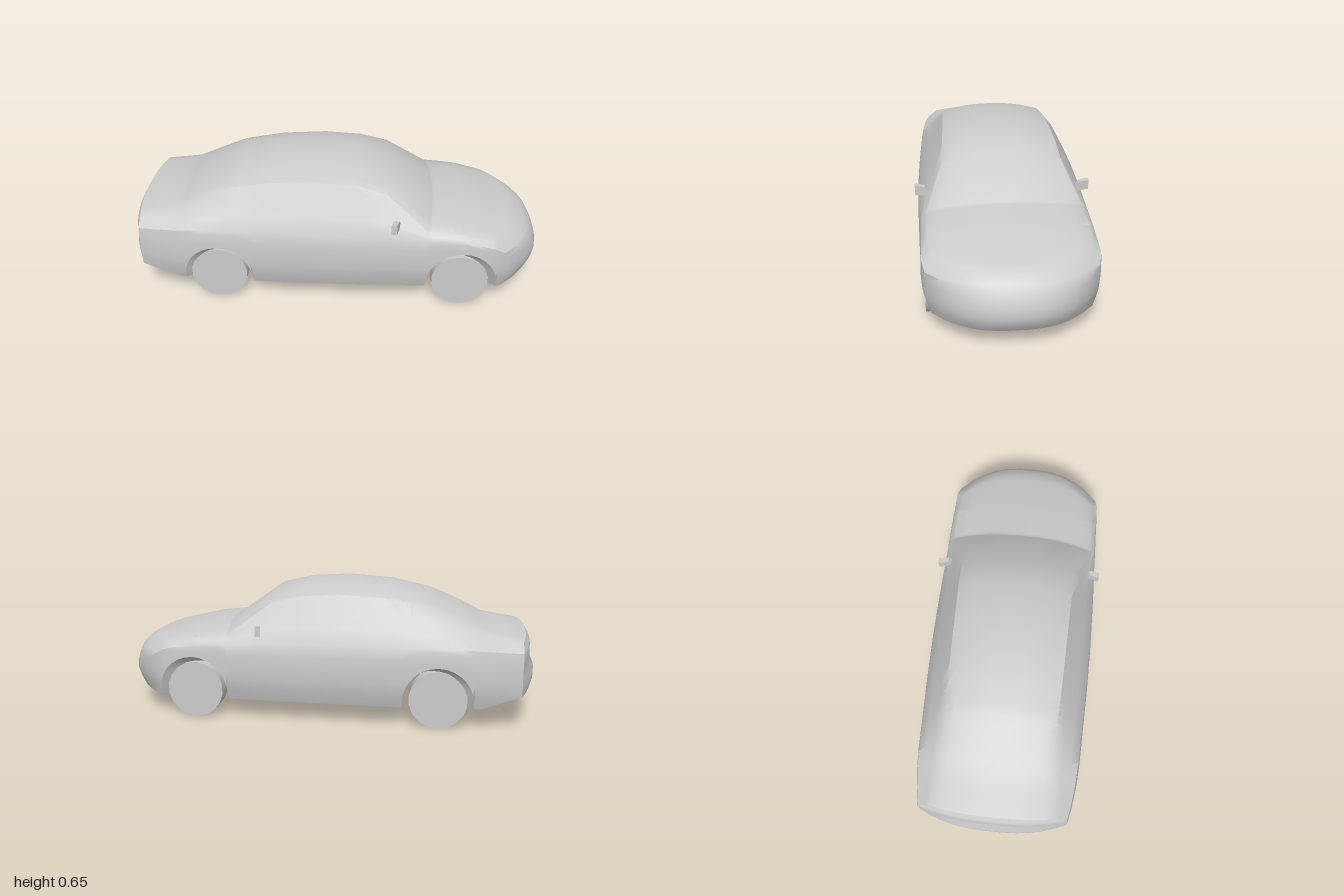
import * as THREE from 'three';
import { toCreasedNormals } from 'three/addons/utils/BufferGeometryUtils.js';

const V = (x, y, z) => new THREE.Vector3(x, y, z);
const material = new THREE.MeshStandardMaterial({ color: 0xcccccc });
const shellMaterial = new THREE.MeshStandardMaterial({ color: 0xcccccc, side: THREE.DoubleSide });

// Body stations: side x, centre x, roof centre y, roof edge y, roof edge z, shoulder y, half width, sill y
const STATIONS = [
  [-0.93, -0.955, 0.42, 0.405, 0.295, 0.365, 0.357, 0.165],
  [-0.85, -0.865, 0.443, 0.42, 0.284, 0.37, 0.373, 0.138],
  [-0.75, -0.755, 0.465, 0.438, 0.274, 0.375, 0.386, 0.1],
  [-0.66, -0.66, 0.518, 0.48, 0.266, 0.38, 0.392, 0.097],
  [-0.5, -0.5, 0.587, 0.55, 0.26, 0.38, 0.396, 0.095],
  [-0.3, -0.3, 0.632, 0.585, 0.266, 0.38, 0.402, 0.095],
  [-0.08, -0.08, 0.647, 0.597, 0.27, 0.38, 0.404, 0.095],
  [0.1, 0.1, 0.635, 0.585, 0.275, 0.378, 0.402, 0.095],
  [0.24, 0.25, 0.6, 0.55, 0.28, 0.376, 0.399, 0.095],
  [0.44, 0.47, 0.443, 0.402, 0.352, 0.37, 0.393, 0.095],
  [0.6, 0.65, 0.418, 0.387, 0.357, 0.358, 0.389, 0.095],
  [0.75, 0.87, 0.363, 0.357, 0.34, 0.33, 0.384, 0.095],
  [0.8, 0.93, 0.33, 0.332, 0.325, 0.3, 0.368, 0.1],
];
const ARCHES = [{ x: -0.555, r: 0.163 }, { x: 0.605, r: 0.168 }];
const ARCH_Y = 0.13;
// Relative half width of the flank by height
const FLANK = [[0.09, 0.925], [0.17, 0.99], [0.25, 1], [0.33, 0.99], [0.4, 0.955]];
// Centre line of nose and tail, as height and x
const NOSE = [[0.105, 0.96], [0.15, 0.99], [0.2, 1], [0.26, 0.98], [0.3, 0.958], [0.33, 0.93]];
const TAIL = [[0.17, -0.985], [0.2, -1], [0.257, -1], [0.28, -0.98], [0.385, -0.976], [0.42, -0.955]];
const SIDE_POINTS = 9;

// Linear interpolation in a table sorted by its first column
function lookup(table, t) {
  let i = 0;
  while (i < table.length - 2 && t > table[i + 1][0]) i++;
  const a = table[i], b = table[i + 1];
  const k = THREE.MathUtils.clamp((t - a[0]) / (b[0] - a[0]), 0, 1);
  return a.map((v, n) => v + (b[n] - v) * k);
}

function station(x) {
  const [xe, xc, yc, ye, ze, ys, w, sill] = lookup(STATIONS, x);
  return { xe, xc, yc, ye, ze, ys, w, sill };
}

function sideZ(s, y) {
  const flank = h => s.w * lookup(FLANK, h)[1];
  if (y <= s.ys) return flank(y);
  return THREE.MathUtils.lerp(flank(s.ys), s.ze, Math.min(1, (y - s.ys) / (s.ye - s.ys)));
}

// Triangles of a grid of points
function grid(rows) {
  const out = [];
  for (let i = 0; i < rows.length - 1; i++)
    for (let j = 0; j < rows[0].length - 1; j++) {
      const a = rows[i][j], b = rows[i + 1][j], c = rows[i][j + 1], d = rows[i + 1][j + 1];
      out.push(a, b, c, b, d, c);
    }
  return out;
}

function surface(points, crease) {
  return toCreasedNormals(new THREE.BufferGeometry().setFromPoints(points), crease);
}

// A bowed line from an edge point across the car to its mirror image
function bow(edge, xc, yc) {
  const row = [];
  for (let i = 6; i >= -6; i--) {
    const k = Math.abs(i / 6);
    row.push(V(xc + (edge.x - xc) * k ** 2.6, yc + (edge.y - yc) * k ** 2.2, edge.z * i / 6));
  }
  return row;
}

// Points up one flank, from the sill to the roof edge
function flankPoints(s) {
  const points = [];
  for (let i = 0; i < SIDE_POINTS; i++) {
    const y = i <= 5 ? THREE.MathUtils.lerp(s.sill, s.ys, i / 5)
      : THREE.MathUtils.lerp(s.ys, s.ye, (i - 5) / 3);
    points.push(V(s.xe, y, sideZ(s, y)));
  }
  return points;
}

// A cross-section from the +z sill over the roof to the -z sill
function section(s) {
  const flank = flankPoints(s);
  const roof = bow(flank[SIDE_POINTS - 1], s.xc, s.yc);
  const far = flank.slice(0, -1).reverse().map(p => V(p.x, p.y, -p.z));
  return [...flank.slice(0, -1), ...roof, ...far];
}

// Rows across the nose or tail, bottom first, joined to the flank of the end section
function capRows(s, profile) {
  const bottom = profile[0][0];
  return flankPoints(s).map(p => {
    const y = bottom + (s.yc - bottom) * (p.y - s.sill) / (s.ye - s.sill);
    return bow(p, lookup(profile, y)[1], y);
  });
}

// Stations in order, with the sill raised along the wheel arches
function bodyStations() {
  const list = STATIONS.map(r => station(r[0]))
    .filter(s => ARCHES.every(a => Math.abs(s.xe - a.x) > a.r + 0.004));
  for (const a of ARCHES) {
    for (const e of [-1, 1]) list.push(station(a.x + e * (a.r + 0.003)));
    for (let i = 0; i <= 14; i++) {
      const t = Math.PI * i / 14;
      const s = station(a.x + a.r * Math.cos(t));
      s.sill = ARCH_Y + a.r * Math.sin(t);
      list.push(s);
    }
  }
  return list.sort((p, q) => p.xe - q.xe);
}

// Floor fan from a raised middle point to the whole lower edge, arches included
function floorFan(stations, noseRow, tailRow) {
  const side = stations.map(s => V(s.xe, s.sill, sideZ(s, s.sill)));
  const other = side.map(p => V(p.x, p.y, -p.z)).reverse();
  const loop = [...side, ...noseRow.slice(1, -1), ...other, ...tailRow.slice(1, -1).reverse()];
  const apex = V(0, 0.175, 0);
  return loop.flatMap((p, i) => [apex, loop[(i + 1) % loop.length], p]);
}

export function createModel() {
  const group = new THREE.Group();
  const add = (name, geometry, mat = material) => {
    const mesh = new THREE.Mesh(geometry, mat);
    mesh.name = name;
    group.add(mesh);
    return mesh;
  };

  // Shell with bowed nose and tail
  const stations = bodyStations();
  const tail = capRows(stations[0], TAIL);
  const nose = capRows(stations[stations.length - 1], NOSE);
  const shell = [...grid(stations.map(section)), ...grid([...nose].reverse()), ...grid(tail)];
  add('body', surface(shell, 0.68), shellMaterial);
  add('floor', surface(floorFan(stations, nose[0], tail[0]), 0.3), shellMaterial);

  // Wheels and door mirrors on both sides
  const wheel = new THREE.CylinderGeometry(0.135, 0.135, 0.08, 18).rotateX(Math.PI / 2);
  const outline = [[0.408, 0.46], [0.408, 0.412], [0.362, 0.412], [0.335, 0.43], [0.345, 0.437], [0.36, 0.455]];
  for (const sign of [1, -1]) {
    add('rearWheel', wheel).position.set(-0.555, 0.135, sign * 0.33);
    add('frontWheel', wheel).position.set(0.6, 0.135, sign * 0.33);
    const shape = new THREE.Shape(outline.map(([z, y]) => new THREE.Vector2(-sign * z, y)));
    const mirror = new THREE.ExtrudeGeometry(shape, { depth: 0.026, bevelEnabled: false });
    mirror.rotateY(Math.PI / 2);
    // Sweep the mirror along x with distance from the body
    const p = mirror.attributes.position;
    for (let i = 0; i < p.count; i++)
      p.setX(i, p.getX(i) + 0.265 + (0.408 - Math.abs(p.getZ(i))) * 0.25);
    mirror.computeVertexNormals();
    add('doorMirror', mirror);
  }
  return group;
}
